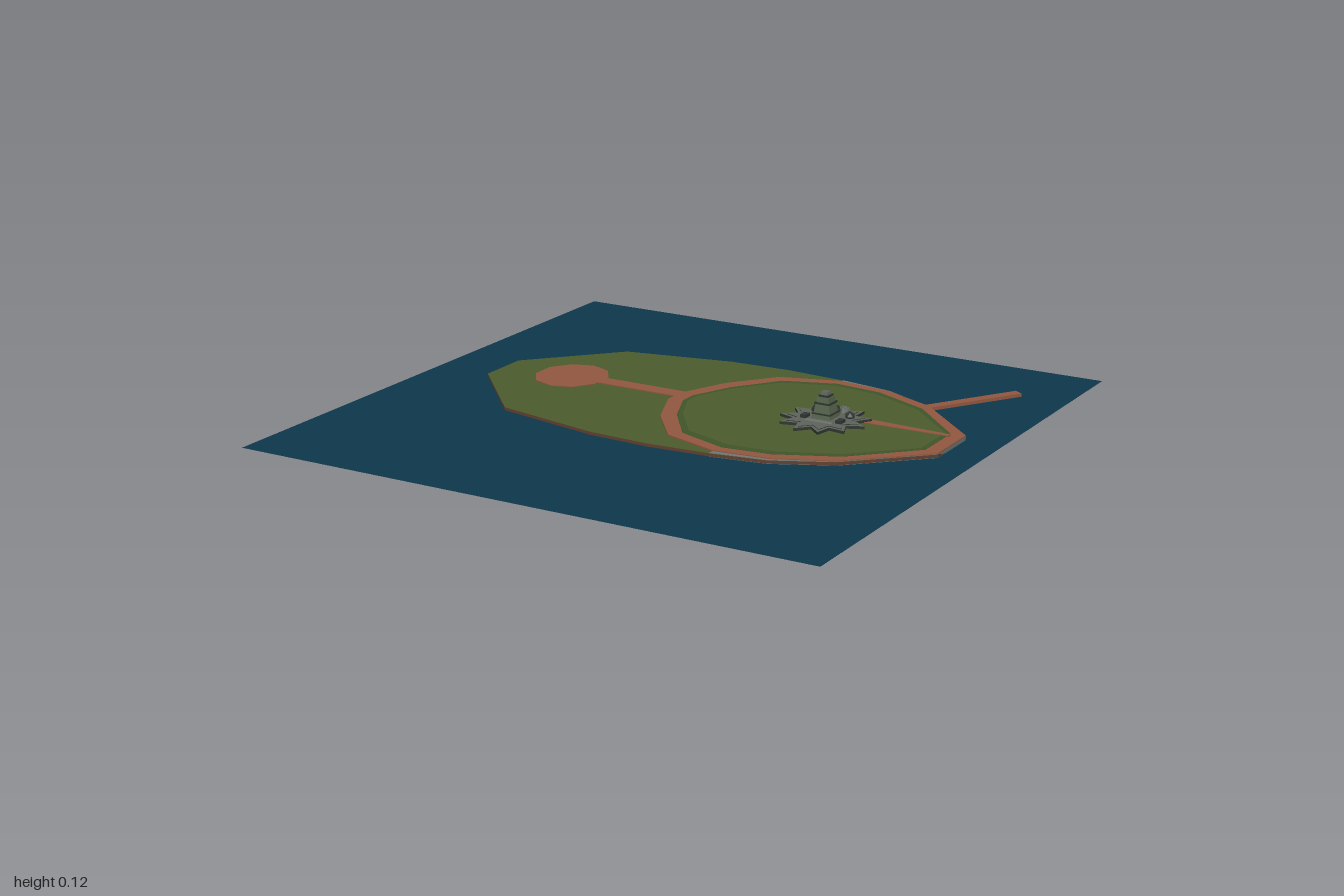
import * as THREE from 'three';

const mat = (name, color) => {
  const m = new THREE.MeshStandardMaterial({ color, side: THREE.DoubleSide, flatShading: true });
  m.name = name;
  return m;
};

export function createModel() {
  const water = mat('water', 0x0d364b);
  const grass = mat('grass', 0x4b5c2d);
  const hedge = mat('hedge', 0x3f5528);
  const brick = mat('brick', 0x91573f);
  const soil = mat('soil', 0x5f4030);
  const seaStone = mat('sea wall stone', 0x6f7670);
  const fortStone = mat('fort stone', 0x5d635c);
  const darkStone = mat('dark stone', 0x30362f);
  const towerStone = mat('tower stone', 0x55644c);

  const group = new THREE.Group();
  const MID = -0.075; // symmetry line of the island
  const add = (name, geo, m, x = 0, y = 0, z = 0) => {
    const mesh = new THREE.Mesh(geo, m);
    mesh.name = name;
    mesh.position.set(x, y, z);
    group.add(mesh);
    return mesh;
  };

  // Flat slab from [x, z] points, lying between two heights
  const toVec = (pts) => pts.map(([x, z]) => new THREE.Vector2(x, -z));
  const slab = (name, pts, y0, y1, m, hole) => {
    const shape = new THREE.Shape(toVec(pts));
    if (hole) shape.holes.push(new THREE.Path(toVec(hole)));
    const geo = new THREE.ExtrudeGeometry(shape, { depth: y1 - y0, bevelEnabled: false });
    geo.rotateX(-Math.PI / 2);
    return add(name, geo, m, 0, y0, 0);
  };
  // Straight bar between two [x, z] points
  const strip = (name, a, b, width, y0, y1, m) => {
    const dx = b[0] - a[0], dz = b[1] - a[1];
    const geo = new THREE.BoxGeometry(Math.hypot(dx, dz), y1 - y0, width);
    const mesh = add(name, geo, m, (a[0] + b[0]) / 2, (y0 + y1) / 2, (a[1] + b[1]) / 2);
    mesh.rotation.y = -Math.atan2(dz, dx);
    return mesh;
  };
  // Closed outline from [x, half depth] pairs
  const mirrored = (half) => [
    ...half.map(([x, h]) => [x, MID - h]),
    ...half.slice().reverse().map(([x, h]) => [x, MID + h]),
  ];
  const inset = (pts, cx, cz, sx, sz) => pts.map(([x, z]) => [cx + (x - cx) * sx, cz + (z - cz) * sz]);

  // Water
  const sea = new THREE.PlaneGeometry(2, 2);
  sea.rotateX(-Math.PI / 2);
  add('water', sea, water);

  // Island
  const coast = mirrored([
    [-0.77, 0.09], [-0.51, 0.37], [-0.14, 0.445], [0.07, 0.455],
    [0.29, 0.44], [0.47, 0.41], [0.655, 0.32], [0.885, 0.1],
  ]);
  slab('islandGround', coast, 0.008, 0.018, [grass, soil]);

  // Stone edge of the eastern shore
  const wall = mirrored([[0.285, 0.44], [0.47, 0.41], [0.655, 0.32], [0.885, 0.1]]);
  const wallInner = inset(wall, 0.45, MID, 0.95, 0.9);
  slab('seaWall', wall, 0.007, 0.0195, seaStone, null);
  slab('shoreGrass', mirrored([[0.27, 0.41], ...wallInner.slice(0, 4).map(([x, z]) => [x, MID - z])]),
    0.018, 0.0205, grass);

  // Brick walk around the lawn
  const walkOuter = mirrored([
    [-0.1, 0.04], [-0.03, 0.205], [0.09, 0.357], [0.285, 0.42],
    [0.47, 0.4], [0.655, 0.318], [0.885, 0.1],
  ]);
  const walkInner = mirrored([
    [-0.05, 0.03], [0.01, 0.17], [0.12, 0.32], [0.295, 0.383],
    [0.455, 0.366], [0.652, 0.277], [0.838, 0.09],
  ]);
  slab('ringWalk', walkOuter, 0.018, 0.0225, brick, walkInner);

  // Raised lawn with a hedge border
  const lawn = inset(walkInner, 0.42, MID, 0.965, 0.93);
  slab('lawnHedge', walkInner, 0.018, 0.0235, hedge, lawn);
  slab('lawn', lawn, 0.018, 0.0245, grass);

  // Western plaza and walk
  const plaza = add('plaza', new THREE.CylinderGeometry(0.123, 0.123, 0.004, 10), brick, -0.514, 0.0185, -0.105);
  plaza.scale.z = 1.07;
  strip('plazaWalk', [-0.42, -0.107], [-0.08, -0.107], 0.056, 0.018, 0.0215, brick);

  // Eastern walk up to the fort
  slab('fortWalk', [[0.53, -0.162], [0.845, -0.15], [0.845, -0.133], [0.53, -0.122]], 0.022, 0.0265, brick);

  // Pier
  strip('pier', [0.65, -0.395], [0.838, -0.685], 0.034, 0.009, 0.02, brick);

  // Star fort
  const CX = 0.445, CZ = -0.08;
  const star = (r0, r1) => Array.from({ length: 22 }, (_, i) => {
    const a = (i / 22) * Math.PI * 2 + 0.1;
    const r = i % 2 ? r1 : r0;
    return [CX + r * Math.cos(a), CZ + r * Math.sin(a)];
  });
  slab('starFort', star(0.147, 0.1), 0.022, 0.034, [fortStone, darkStone]);
  slab('starParapet', star(0.125, 0.086), 0.034, 0.036, [fortStone, darkStone]);

  // Terraces and tapering tower
  const TX = 0.45, TZ = -0.075;
  const stage = (name, y0, y1, wBottom, wTop, m) => {
    const geo = new THREE.CylinderGeometry(wTop / Math.SQRT2, wBottom / Math.SQRT2, y1 - y0, 4);
    geo.rotateY(Math.PI / 4);
    return add(name, geo, m, TX, (y0 + y1) / 2, TZ);
  };
  stage('terrace', 0.034, 0.041, 0.1, 0.09, fortStone);
  stage('towerBase', 0.041, 0.054, 0.066, 0.062, towerStone);
  stage('towerLedge', 0.054, 0.058, 0.066, 0.066, darkStone);
  stage('towerShaft', 0.058, 0.086, 0.056, 0.047, towerStone);
  stage('towerBalcony', 0.086, 0.091, 0.054, 0.054, darkStone);
  stage('towerUpper', 0.091, 0.108, 0.044, 0.04, towerStone);
  stage('towerCap', 0.108, 0.114, 0.034, 0.034, darkStone);
  stage('towerTop', 0.114, 0.124, 0.026, 0.022, fortStone);

  // Rocky mounds behind the tower
  [[0.395, -0.125, 0.02], [0.41, -0.155, 0.024], [0.445, -0.145, 0.022],
    [0.49, -0.135, 0.022], [0.515, -0.115, 0.016], [0.47, -0.165, 0.015]].forEach(([x, z, r], i) => {
    const mound = add('mound', new THREE.IcosahedronGeometry(r, 0), i % 2 ? fortStone : darkStone, x, 0.042, z);
    mound.rotation.y = i * 1.3;
  });

  // Low blocks along the front terrace
  for (const dx of [-0.062, 0.062]) {
    add('terraceBlock', new THREE.BoxGeometry(0.02, 0.012, 0.03), darkStone, TX + dx, 0.04, TZ + 0.02);
  }
  return group;
}
